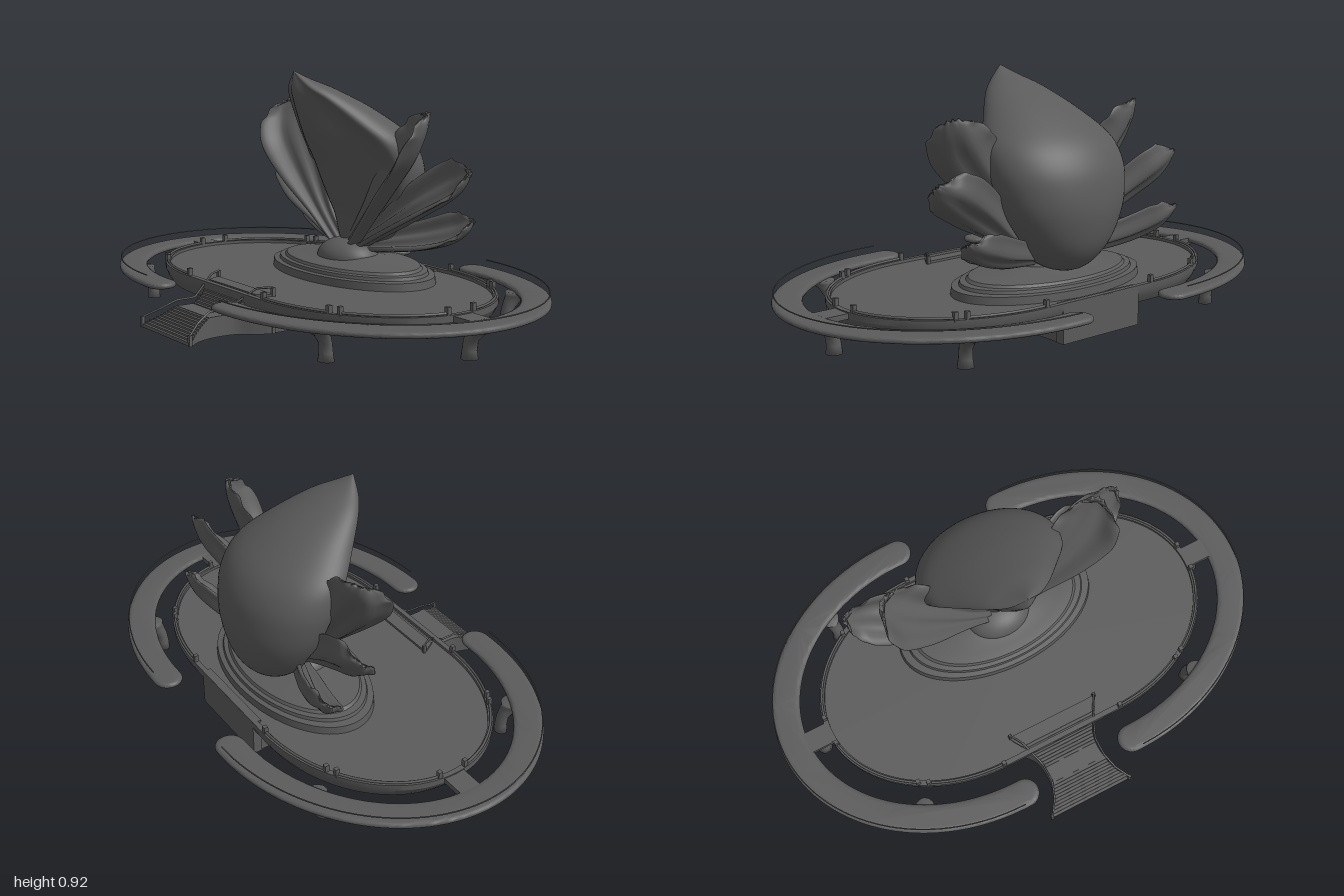
import * as THREE from 'three';
import { toCreasedNormals } from 'three/addons/utils/BufferGeometryUtils.js';

const V = (x, y, z) => new THREE.Vector3(x, y, z);
const CZ = -0.035; // centre of the oval plan
const darkGrey = new THREE.MeshStandardMaterial({ color: 0x5b5b5b, side: THREE.DoubleSide });

function add(parent, name, geometry, x = 0, y = 0, z = 0) {
  const mesh = new THREE.Mesh(geometry, darkGrey);
  mesh.name = name;
  mesh.position.set(x, y, z);
  parent.add(mesh);
  return mesh;
}

// Skin a list of closed rings and cap both ends
function loft(rings) {
  const n = rings[0].length, pos = [], idx = [];
  rings.forEach(r => r.forEach(p => pos.push(p.x, p.y, p.z)));
  for (let i = 0; i < rings.length - 1; i++) {
    for (let j = 0; j < n; j++) {
      const a = i * n + j, b = i * n + (j + 1) % n;
      idx.push(a, b, b + n, a, b + n, a + n);
    }
  }
  [0, rings.length - 1].forEach(i => {
    const c = rings[i].reduce((s, p) => s.add(p), V(0, 0, 0)).divideScalar(n);
    const k = pos.length / 3;
    pos.push(c.x, c.y, c.z);
    for (let j = 0; j < n; j++) {
      const a = i * n + j, b = i * n + (j + 1) % n;
      if (i) idx.push(k, a, b); else idx.push(k, b, a);
    }
  });
  const g = new THREE.BufferGeometry();
  g.setAttribute('position', new THREE.Float32BufferAttribute(pos, 3));
  g.setIndex(idx);
  g.computeVertexNormals();
  return g;
}

// Point on the oval plan: two half ellipses joined by straight sides
function ovalPoint(a, rx, rz, y, straight = 0.25) {
  const c = Math.cos(a);
  return V(Math.sign(Math.round(c * 1e6)) * straight + c * (rx - straight), y, CZ + Math.sin(a) * rz);
}
function arcRail(rx, rz, y, a0, a1, radius) {
  const pts = [];
  for (let i = 0; i <= 32; i++) pts.push(ovalPoint(a0 + (a1 - a0) * i / 32, rx, rz, y));
  return new THREE.TubeGeometry(new THREE.CatmullRomCurve3(pts), 80, radius, 6);
}

// Smooth interpolation through rows of numbers
function sampler(rows) {
  const at = i => rows[Math.max(0, Math.min(rows.length - 1, i))];
  return t => {
    const s = t * (rows.length - 1), i = Math.min(Math.floor(s), rows.length - 2), f = s - i;
    return rows[0].map((_, k) => {
      const [a, b, c, d] = [at(i - 1)[k], at(i)[k], at(i + 1)[k], at(i + 2)[k]];
      return b + 0.5 * f * (c - a + f * (2 * a - 5 * b + 4 * c - d + f * (3 * (b - c) + d - a)));
    });
  };
}

// Hooded petal; rows: back z, back y, front z, front y, half width
function hoodGeometry() {
  const row = sampler([
    [-0.24, 0.2, -0.15, 0.22, 0.04], [-0.34, 0.215, -0.13, 0.28, 0.12], [-0.41, 0.29, -0.11, 0.37, 0.19],
    [-0.44, 0.4, -0.08, 0.44, 0.245], [-0.44, 0.5, -0.05, 0.51, 0.275], [-0.415, 0.6, -0.02, 0.58, 0.287],
    [-0.35, 0.69, 0.02, 0.655, 0.27], [-0.21, 0.785, 0.05, 0.72, 0.205], [-0.06, 0.858, 0.08, 0.8, 0.13],
    [0.03, 0.893, 0.095, 0.85, 0.068], [0.09, 0.922, 0.093, 0.915, 0.002]]);
  const rings = [];
  for (let i = 0; i <= 50; i++) {
    const [bz, by, fz, fy, w] = row(i / 50), ring = [];
    for (let j = 0; j < 56; j++) {
      const a = j / 56 * Math.PI * 2, c = Math.cos(a);
      // the front is hollowed either side of a central rib
      const k = c > 0 ? c * (1 - 0.5 * Math.sin(2 * a) ** 2) : c;
      ring.push(V(w * Math.sin(a), (by + fy) / 2 + k * (fy - by) / 2, (bz + fz) / 2 + k * (fz - bz) / 2));
    }
    rings.push(ring);
  }
  return loft(rings);
}

// Ruffled side petal; rows: spine x, y, z, half width
function petalGeometry(rows, normal) {
  const row = sampler(rows), rings = [], N0 = V(...normal).normalize();
  for (let i = 0; i <= 40; i++) {
    const t = i / 40, [x, y, z, w] = row(t), p = row(Math.min(1, t + 0.01)), q = row(Math.max(0, t - 0.01));
    const T = V(p[0] - q[0], p[1] - q[1], p[2] - q[2]).normalize();
    const W = T.clone().cross(N0).normalize(), N = W.clone().cross(T), ring = [];
    const th = 0.02 * Math.sqrt(Math.max(0.02, 1 - t * t));
    for (let j = 0; j < 40; j++) {
      const a = j / 40 * Math.PI * 2, u = Math.cos(a), ruffle = Math.max(0, t - 0.5) * u * u;
      const wide = u * (w + 0.012 * ruffle * Math.sin(t * 36));
      const rise = Math.sin(a) * th + w * (0.5 * u * u - 0.2) + 0.16 * w * Math.cos(u * 8) * (1 - t)
        + 0.02 * ruffle * Math.sin(t * 20 + u * 2);
      ring.push(V(x, y, z).addScaledVector(W, wide).addScaledVector(N, rise)
        .addScaledVector(T, t ** 4 * (0.006 * Math.cos(u * 14) - 0.03 * u * u)));
    }
    rings.push(ring);
  }
  return loft(rings);
}

// Flared support: narrow foot, head curving outwards under the walkway
function legGeometry(reach) {
  return loft([[0, 0, 0.03, 0.03], [0.03, 0, 0.027, 0.025], [0.065, 0.006, 0.027, 0.024], [0.095, 0.03, 0.038, 0.027],
    [0.115, 0.058, 0.056, 0.034], [0.13, 0.078, 0.075, 0.045]].map(([y, c, r, s]) => {
    const ring = [];
    for (let j = 0; j < 16; j++) {
      const a = j / 16 * Math.PI * 2;
      ring.push(V(c * reach + r * (0.4 + 0.6 * reach) * Math.cos(a), y, s * Math.sin(a)));
    }
    return ring;
  }));
}

export function createModel() {
  const model = new THREE.Group();

  // Dished oval platform
  const platform = [[0.79, 0.42, 0.136], [0.79, 0.42, 0.148], [0.81, 0.44, 0.148], [0.81, 0.44, 0.125],
    [0.795, 0.43, 0.1], [0.775, 0.415, 0.075], [0.66, 0.34, 0.062], [0.4, 0.15, 0.058]].map(([rx, rz, y]) => {
    const ring = [];
    for (let j = 0; j < 96; j++) ring.push(ovalPoint((j + 0.5) / 96 * Math.PI * 2, rx, rz, y));
    return ring;
  });
  add(model, 'platform', toCreasedNormals(loft(platform), 0.5));

  // Stepped mound and the boss the flower grows from
  const profile = [[0.415, 0.13], [0.41, 0.165], [0.38, 0.168], [0.375, 0.18], [0.35, 0.183], [0.34, 0.193],
    [0.28, 0.2], [0.2, 0.205], [0.15, 0.215], [0, 0.225]].map(p => new THREE.Vector2(...p));
  add(model, 'steppedMound', toCreasedNormals(new THREE.LatheGeometry(profile, 64), 0.6), 0, 0, -0.18).scale.z = 0.58;
  add(model, 'flowerBoss', new THREE.SphereGeometry(1, 32, 20), 0, 0.2, -0.16).scale.set(0.135, 0.078, 0.11);
  add(model, 'hoodPetal', hoodGeometry());

  // Walkway outline for one side, with rounded ends and softened edges
  const P = Math.PI / 2, walk = new THREE.Shape();
  walk.moveTo(0.235, 0.6);
  walk.absellipse(0.25, 0, 0.73, 0.6, P, -P, true);
  walk.absarc(0.235, -0.565, 0.035, -P, P, true);
  walk.absellipse(0.25, 0, 0.66, 0.53, -P, P, false);
  walk.absarc(0.235, 0.565, 0.035, -P, P, true);
  const walkway = toCreasedNormals(new THREE.ExtrudeGeometry(walk,
    { depth: 0.004, bevelThickness: 0.01, bevelSize: 0.02, bevelSegments: 4, curveSegments: 48 }), 0.7);
  walkway.rotateX(P);

  // Everything that is mirrored left to right
  for (const side of [1, -1]) {
    const half = new THREE.Group();
    half.name = side > 0 ? 'leftHalf' : 'rightHalf';
    half.scale.x = side;
    model.add(half);

    add(half, 'upperPetal', petalGeometry([[0.03, 0.25, -0.15, 0.03], [0.14, 0.37, -0.14, 0.05], [0.26, 0.52, -0.14, 0.1],
      [0.365, 0.65, -0.15, 0.125], [0.41, 0.73, -0.17, 0.1], [0.435, 0.785, -0.18, 0.05]], [-0.75, 0.2, 1]));
    add(half, 'middlePetal', petalGeometry([[0.04, 0.25, -0.17, 0.03], [0.18, 0.33, -0.18, 0.05], [0.33, 0.43, -0.21, 0.095],
      [0.46, 0.51, -0.25, 0.105], [0.53, 0.55, -0.26, 0.08], [0.575, 0.58, -0.265, 0.035]], [-0.6, 0.35, 1]));
    add(half, 'lowerPetal', petalGeometry([[0.04, 0.24, -0.19, 0.025], [0.17, 0.27, -0.24, 0.055], [0.3, 0.3, -0.29, 0.075],
      [0.41, 0.335, -0.325, 0.08], [0.47, 0.365, -0.34, 0.06], [0.505, 0.39, -0.35, 0.025]], [-0.4, 0.7, 1]));

    add(half, 'walkway', walkway, 0, 0.136, CZ);
    add(half, 'walkwayRail', arcRail(0.993, 0.613, 0.17, -P + 0.01, P - 0.01, 0.0025));
    add(half, 'bridge', new THREE.BoxGeometry(0.12, 0.02, 0.085), 0.85, 0.134, CZ);

    // Supports: one on the end, one front, one back
    [[0.842, 0, 0, 1], [0.59, 0.405, -1.2, 0.75], [0.59, -0.405, 1.2, 0.75]].forEach(([x, z, turn, reach]) => {
      add(half, 'support', legGeometry(reach), x, 0, CZ + z).rotation.y = turn;
    });

    // Low rails and posts along the platform edge
    [[0.13, 0.92], [1.0, P - 0.01]].forEach(([a0, a1]) => {
      for (const s of [1, -1]) {
        add(half, 'platformRail', arcRail(0.8, 0.43, 0.153, s * a0, s * a1, 0.005));
        for (const a of [a0, a1]) {
          const p = ovalPoint(s * a, 0.8, 0.43, 0.158);
          add(half, 'railPost', new THREE.BoxGeometry(0.016, 0.034, 0.016), p.x, p.y, p.z);
        }
      }
    });

    // Stair handrail following the flared edge
    const rail = [[0.185, 0.168, 0.31], [0.155, 0.165, 0.36], [0.117, 0.098, 0.455], [0.116, 0.096, 0.53], [0.136, 0.068, 0.59], [0.172, 0.038, 0.643]];
    const railPath = new THREE.CatmullRomCurve3(rail.map(p => V(...p)), false, 'catmullrom', 0.1);
    add(half, 'stairRail', new THREE.TubeGeometry(railPath, 50, 0.004, 6));
    [[0.185, 0.31, 0.168], [0.172, 0.643, 0.04]].forEach(([x, z, h]) =>
      add(half, 'stairPost', new THREE.BoxGeometry(0.012, h, 0.012), x, h / 2, z));
  }

  // Base block running under the platform and out as the flared stair
  const halfWidth = sampler([[0.19], [0.16], [0.122], [0.113], [0.117], [0.137], [0.175]]);
  const section = (z, w, h) => [V(-w, 0, z), V(w, 0, z), V(w, h, z), V(-w, h, z)];
  const rings = [section(-0.475, 0.185, 0.145), section(-0.44, 0.185, 0.145), section(-0.44, 0.18, 0.12),
    section(0.31, 0.18, 0.12), section(0.31, 0.19, 0.145)];
  const z0 = 0.31, z1 = 0.645, steps = 30;
  const height = z => z < 0.36 ? 0.145 : z < 0.46 ? 0.145 - (z - 0.36) * 0.7 : z < 0.53 ? 0.075 : 0.075 - (z - 0.53) * 0.6;
  for (let i = 0; i < steps; i++) {
    const a = z0 + (z1 - z0) * i / steps, b = z0 + (z1 - z0) * (i + 1) / steps, h = height(a);
    rings.push(section(a, halfWidth(i / steps)[0], h), section(b, halfWidth((i + 1) / steps)[0], h));
  }
  add(model, 'baseAndStair', toCreasedNormals(loft(rings), 0.4));

  return model;
}
